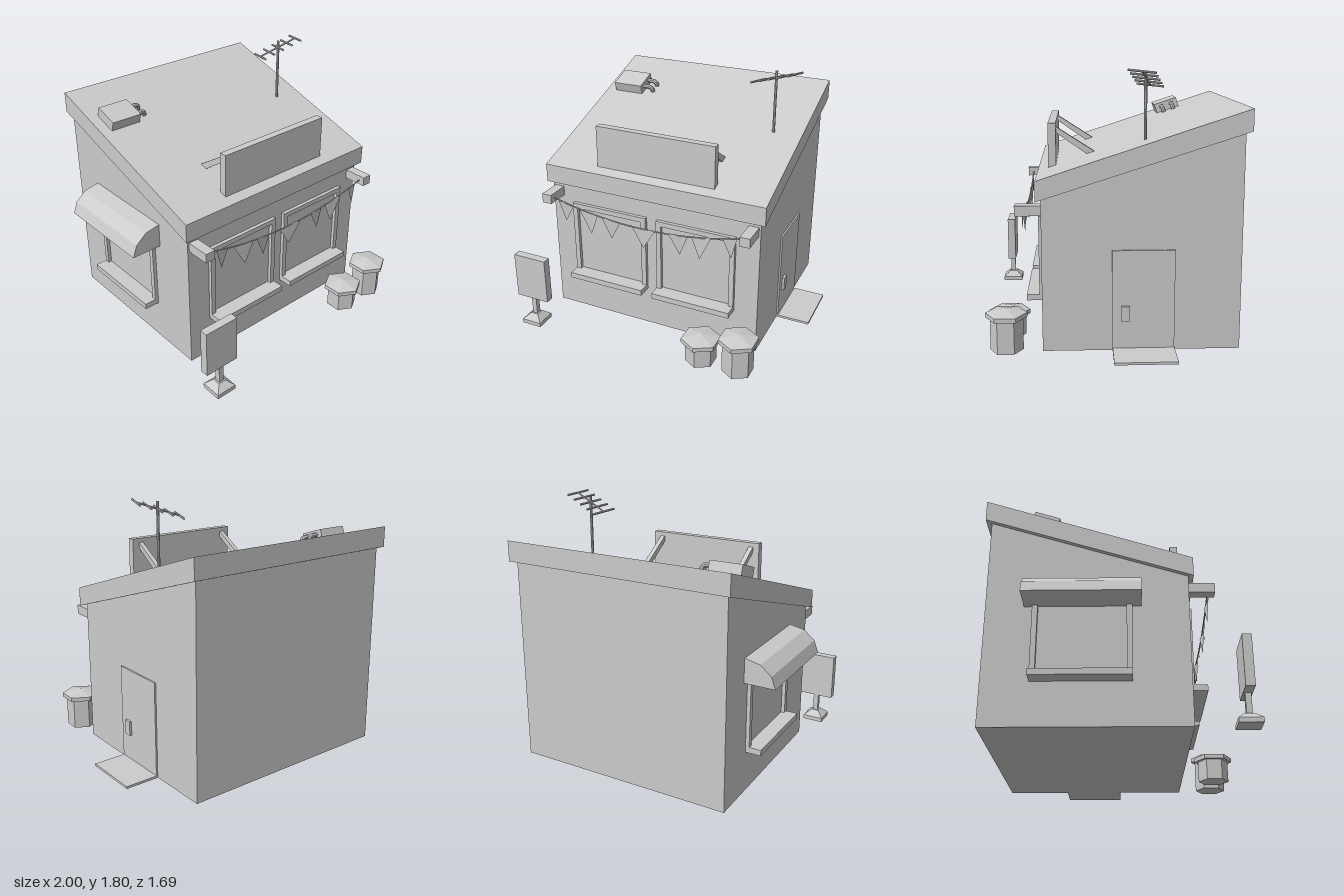
import * as THREE from 'three';

const mat = new THREE.MeshStandardMaterial({ color: 0xcccccc, flatShading: true });
const thin = new THREE.MeshStandardMaterial({ color: 0xcccccc, flatShading: true, side: THREE.DoubleSide });
const V = (x, y, z) => new THREE.Vector3(x, y, z);

function add(parent, name, geometry, material = mat) {
  const mesh = new THREE.Mesh(geometry, material);
  mesh.name = name;
  parent.add(mesh);
  return mesh;
}

// Box given by its limits on each axis
function box(parent, name, [x0, x1], [y0, y1], [z0, z1]) {
  const mesh = add(parent, name, new THREE.BoxGeometry(x1 - x0, y1 - y0, z1 - z0));
  mesh.position.set((x0 + x1) / 2, (y0 + y1) / 2, (z0 + z1) / 2);
  return mesh;
}

// Side profile of [z, y] points, extruded along x
function sideProfile(parent, name, points, x0, x1) {
  const shape = new THREE.Shape(points.map(([z, y]) => new THREE.Vector2(z, y)));
  const geo = new THREE.ExtrudeGeometry(shape, { depth: x1 - x0, bevelEnabled: false });
  geo.rotateY(-Math.PI / 2).translate(x1, 0, 0);
  return add(parent, name, geo);
}

// Straight rod between two points
function rod(parent, name, a, b, radius) {
  const mesh = add(parent, name, new THREE.CylinderGeometry(radius, radius, a.distanceTo(b), 8));
  mesh.position.copy(a).lerp(b, 0.5);
  mesh.quaternion.setFromUnitVectors(V(0, 1, 0), b.clone().sub(a).normalize());
  return mesh;
}

// Window frame with a deep sill, facing +z, wall plane at z = 0
function windowFrame(name, width) {
  const g = new THREE.Group();
  g.name = name;
  const w = width / 2;
  for (const s of [-1, 1]) {
    const c = s * (w - 0.0175);
    box(g, 'windowPost', [c - 0.0175, c + 0.0175], [0.32, 0.855], [-0.01, 0.025]);
  }
  box(g, 'windowHeader', [-w + 0.035, w - 0.035], [0.82, 0.855], [-0.01, 0.025]);
  box(g, 'windowSill', [-w, w], [0.29, 0.33], [-0.01, 0.107]);
  return g;
}

// Hexagonal bin with a pitched lid
function bin(x, z, height) {
  const g = new THREE.Group();
  g.name = 'bin';
  const part = (name, top, bottom, y0, y1) => {
    const m = add(g, name, new THREE.CylinderGeometry(top, bottom, y1 - y0, 6));
    m.position.y = (y0 + y1) / 2;
  };
  part('binBody', 0.107, 0.107, 0.005, height);
  part('binLidRim', 0.135, 0.135, height - 0.005, height + 0.025);
  part('binLidTop', 0, 0.135, height + 0.025, height + 0.055);
  g.position.set(x, 0, z);
  return g;
}

export function createModel() {
  const model = new THREE.Group();
  model.name = 'shop';

  // Walls and sloping roof slab
  sideProfile(model, 'walls', [[-0.81, 0.005], [0.46, 0.005], [0.46, 1.02], [-0.81, 1.43]], -0.79, 0.76);
  sideProfile(model, 'roof', [[-0.847, 1.42], [0.492, 0.99], [0.492, 1.12], [-0.847, 1.56]], -0.82, 0.797);

  // Two front windows and one on the side
  for (const x of [-0.34, 0.31]) {
    const win = windowFrame('frontWindow', 0.57);
    win.position.set(x, 0, 0.46);
    model.add(win);
  }
  const sideWindow = windowFrame('sideWindow', 0.62);
  sideWindow.rotation.y = -Math.PI / 2;
  sideWindow.position.set(-0.79, 0, -0.205);
  model.add(sideWindow);

  // Faceted awning over the side window
  const awning = new THREE.Shape([[-0.78, 0.79], [-0.78, 0.957], [-0.895, 0.933], [-0.97, 0.87], [-1, 0.79]]
    .map(([x, y]) => new THREE.Vector2(x, y)));
  add(model, 'awning', new THREE.ExtrudeGeometry(awning, { depth: 0.73, bevelEnabled: false }).translate(0, 0, -0.568));

  // Side door, handle and step
  box(model, 'door', [0.75, 0.771], [0.02, 0.67], [-0.385, 0.015]);
  box(model, 'doorHandle', [0.765, 0.787], [0.205, 0.305], [-0.098, -0.043]);
  box(model, 'doorStep', [0.755, 1], [0.005, 0.021], [-0.387, 0.012]);

  // Billboard on the roof with two braces
  box(model, 'roofBoard', [-0.445, 0.422], [1.14, 1.437], [0.37, 0.422]);
  for (const x of [-0.381, 0.353]) {
    sideProfile(model, 'boardBrace', [[0.375, 1.37], [0.375, 1.41], [0.1, 1.232], [0.16, 1.22]], x - 0.017, x + 0.017);
  }

  // Roof unit with two bent pipes, lying along the slope
  const unit = new THREE.Group();
  unit.name = 'roofUnit';
  unit.position.set(0, 1.436, -0.472);
  unit.rotation.x = Math.atan2(0.44, 1.339);
  model.add(unit);
  box(unit, 'unitCase', [-0.745, -0.522], [-0.005, 0.07], [-0.088, 0.088]);
  for (const z of [-0.038, 0.038]) {
    const path = new THREE.CatmullRomCurve3([V(-0.53, 0.038, z), V(-0.48, 0.038, z), V(-0.458, 0.028, z), V(-0.453, -0.02, z)]);
    add(unit, 'unitPipe', new THREE.TubeGeometry(path, 10, 0.016, 8));
  }

  // Antenna: mast, tilted boom and five cross rods
  const antenna = new THREE.Group();
  antenna.name = 'antenna';
  model.add(antenna);
  rod(antenna, 'mast', V(0.594, 1.33, -0.202), V(0.594, 1.78, -0.202), 0.01);
  const a = V(0.457, 1.683, -0.243), b = V(0.73, 1.781, -0.167);
  rod(antenna, 'boom', a, b, 0.006);
  const half = V(-0.026, 0.008, 0.085);
  for (let i = 0; i < 5; i++) {
    const c = a.clone().lerp(b, i / 4);
    rod(antenna, 'crossRod', c.clone().sub(half), c.clone().add(half), 0.0075);
  }

  // Bunting: two wall brackets, sagging cord and pennants
  const bunting = new THREE.Group();
  bunting.name = 'bunting';
  model.add(bunting);
  for (const x of [-0.742, 0.712]) box(bunting, 'bracket', [x - 0.035, x + 0.035], [0.892, 0.957], [0.45, 0.625]);
  const cordY = x => 0.832 + 0.19 * (x + 0.015) ** 2;
  const cord = [];
  for (let i = 0; i <= 6; i++) {
    const x = -0.72 + i * 0.235;
    cord.push(V(x, cordY(x), 0.584));
  }
  add(bunting, 'cord', new THREE.TubeGeometry(new THREE.CatmullRomCurve3(cord), 24, 0.005, 6));
  // Each pennant: centre x, top width, tip x, tip height
  const pennants = [[-0.61, 0.11, -0.62, 0.765], [-0.44, 0.16, -0.42, 0.705], [-0.26, 0.13, -0.26, 0.705],
    [-0.02, 0.18, -0.02, 0.69], [0.24, 0.13, 0.25, 0.705], [0.4, 0.145, 0.39, 0.705], [0.6, 0.09, 0.61, 0.765]];
  pennants.forEach(([x, w, tipX, tipY], i) => {
    const twist = (i % 2 ? 1 : -1) * 0.01, l = x - w / 2, r = x + w / 2;
    const geo = new THREE.BufferGeometry().setFromPoints([
      V(l, cordY(l), 0.584 - twist), V(tipX, tipY, 0.584), V(r, cordY(r), 0.584 + twist)]);
    geo.computeVertexNormals();
    add(bunting, 'pennant', geo, thin);
  });

  // Standing board on a stepped, tapered foot
  const stand = new THREE.Group();
  stand.name = 'standingBoard';
  model.add(stand);
  box(stand, 'board', [-0.93, -0.682], [0.2, 0.53], [0.745, 0.803]);
  box(stand, 'boardPost', [-0.823, -0.787], [0.05, 0.21], [0.756, 0.792]);
  box(stand, 'footBase', [-0.879, -0.733], [0, 0.03], [0.7, 0.846]);
  const foot = add(stand, 'footTaper', new THREE.CylinderGeometry(0.04, 0.103, 0.04, 4).rotateY(Math.PI / 4));
  foot.position.set(-0.806, 0.05, 0.773);

  // Bins by the front corner
  model.add(bin(0.455, 0.692, 0.155), bin(0.72, 0.692, 0.23));

  return model;
}
